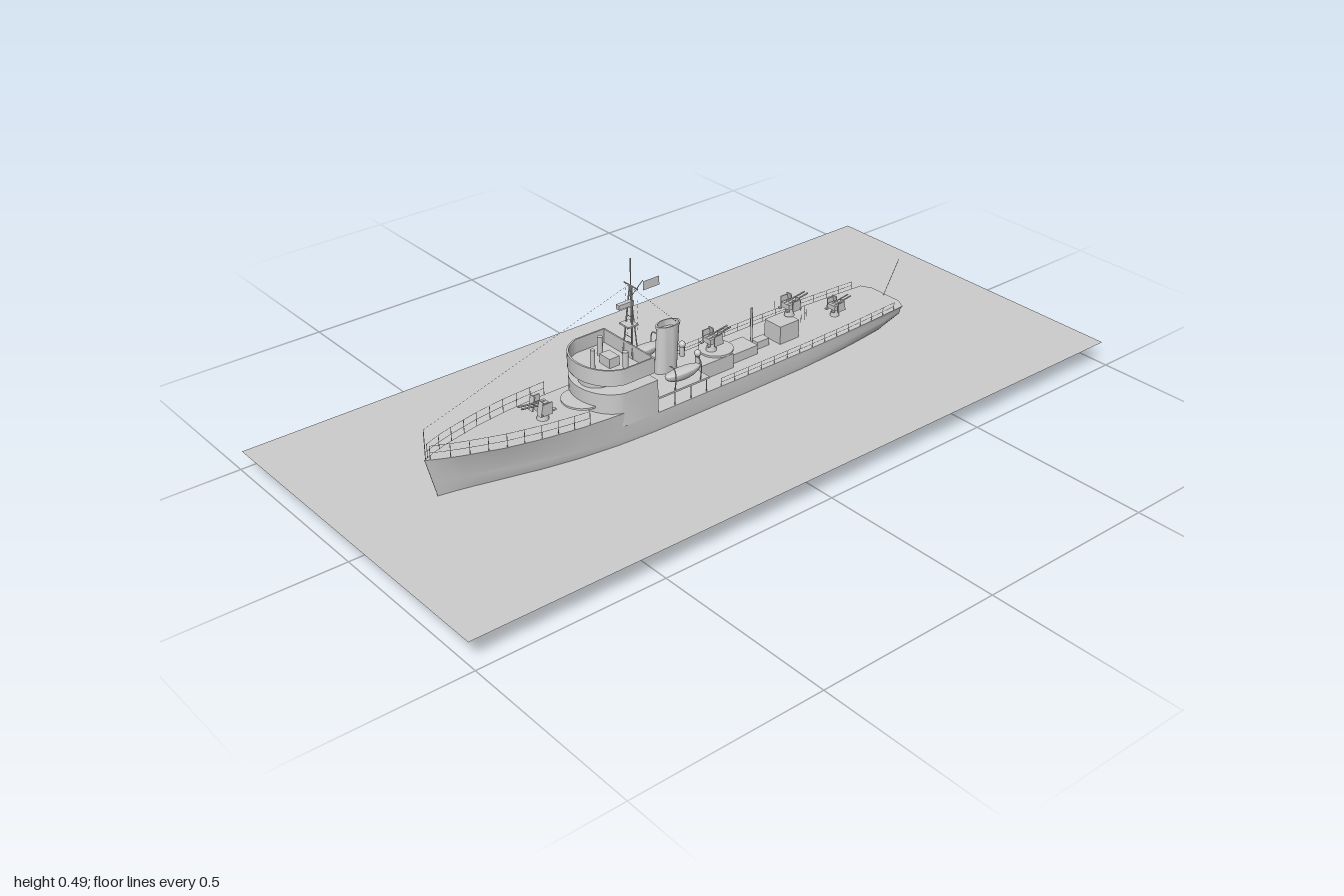
import * as THREE from 'three';
import { toCreasedNormals } from 'three/addons/utils/BufferGeometryUtils.js';

const mat = new THREE.MeshStandardMaterial({ color: 0xcccccc });
const thin = new THREE.MeshStandardMaterial({ color: 0xcccccc, side: THREE.DoubleSide });
const V = (x, y, z) => new THREE.Vector3(x, y, z);

function add(parent, name, geo, x = 0, y = 0, z = 0, material = mat) {
  const m = new THREE.Mesh(geo, material);
  m.name = name;
  m.position.set(x, y, z);
  parent.add(m);
  return m;
}
const box = (p, name, w, h, d, x, y, z) => add(p, name, new THREE.BoxGeometry(w, h, d), x, y, z);
const cyl = (p, name, r0, r1, h, x, y, z, n = 12) => add(p, name, new THREE.CylinderGeometry(r1, r0, h, n), x, y + h / 2, z);

// Round bar between two points
function rod(p, name, a, b, r = 0.001, n = 5) {
  const d = b.clone().sub(a);
  const m = add(p, name, new THREE.CylinderGeometry(r, r, d.length(), n));
  m.position.copy(a).add(b).multiplyScalar(0.5);
  m.quaternion.setFromUnitVectors(V(0, 1, 0), d.normalize());
  return m;
}
// Broken line of short rods
function dashed(p, name, a, b, n) {
  for (let i = 0; i < n; i++) rod(p, name, a.clone().lerp(b, i / n), a.clone().lerp(b, (i + 0.45) / n), 0.0006, 4);
}
// Plan outline (shape y = -z) raised from y0 to y1
function slab(p, name, shape, y0, y1) {
  const g = new THREE.ExtrudeGeometry(shape, { depth: y1 - y0, bevelEnabled: false, curveSegments: 20 });
  g.rotateX(-Math.PI / 2);
  return add(p, name, toCreasedNormals(g, 0.6), 0, y0, 0);
}
// Outline with straight sides and a rounded front
function bowedPlan(w, back, side, front, Type = THREE.Shape) {
  const s = new Type();
  s.moveTo(-w, -back);
  s.lineTo(-w, -side);
  s.bezierCurveTo(-w * 0.75, -front, w * 0.75, -front, w, -side);
  s.lineTo(w, -back);
  s.closePath();
  return s;
}

// Hull stations: z, deck half width, waterline half width, keel height, deck height, fullness
const stations = [
  [-0.69, 0.05, 0.045, 0.075, 0.11, 2], [-0.675, 0.08, 0.072, 0.06, 0.11, 2.2],
  [-0.6, 0.085, 0.082, 0.043, 0.11, 2.5], [-0.45, 0.093, 0.092, 0.026, 0.11, 2.7],
  [-0.3, 0.097, 0.097, 0.008, 0.11, 3], [-0.1, 0.098, 0.098, 0.004, 0.11, 3.5],
  [0.19, 0.098, 0.098, 0.004, 0.11, 3.3], [0.191, 0.098, 0.098, 0.004, 0.145, 3.3],
  [0.3, 0.097, 0.094, 0.004, 0.147, 2.8], [0.4, 0.092, 0.084, 0.004, 0.15, 2.3],
  [0.5, 0.081, 0.066, 0.004, 0.154, 2], [0.6, 0.062, 0.043, 0.004, 0.158, 1.7],
  [0.7, 0.033, 0.019, 0.004, 0.163, 1.4], [0.745, 0.016, 0.008, 0.004, 0.165, 1.3],
  [0.777, 0.001, 0.001, 0.004, 0.166, 1.2]];

function at(z, k) {
  let i = 0;
  while (i < stations.length - 2 && stations[i + 1][0] < z) i++;
  const a = stations[i], b = stations[i + 1];
  return THREE.MathUtils.lerp(a[k], b[k], (z - a[0]) / (b[0] - a[0]));
}

function hullGeometry() {
  const pos = [], idx = [], N = 12;
  let row = 0;
  for (const [z, deck, water, keel, top, e] of stations) {
    const half = [];
    for (let i = 0; i <= N; i++) {
      const t = (i / N) * Math.PI / 2, k = 2 / e;
      half.push([water * Math.sin(t) ** k, 0.098 - (0.098 - keel) * Math.max(0, Math.cos(t)) ** k]);
    }
    half.push([deck, top], [deck, top], [0, top]);
    const ring = [...half, ...half.slice(1, -1).reverse().map(([x, y]) => [-x, y])];
    row = ring.length;
    // The stem leans forward
    const rake = 0.26 * THREE.MathUtils.smoothstep(z, 0.45, 0.777);
    for (const [x, y] of ring) pos.push(x, y, z - (top - y) * rake);
  }
  for (let s = 0; s < stations.length - 1; s++) for (let i = 0; i < row; i++) {
    const a = s * row + i, b = s * row + (i + 1) % row;
    idx.push(a, b, b + row, a, b + row, a + row);
  }
  for (let i = 1; i < row - 1; i++) {
    const o = (stations.length - 1) * row;
    idx.push(0, i + 1, i, o, o + i, o + i + 1);
  }
  const g = new THREE.BufferGeometry();
  g.setAttribute('position', new THREE.Float32BufferAttribute(pos, 3));
  g.setIndex(idx);
  // Keep the winding outward
  const p = i => V().fromArray(pos, i * 3);
  let vol = 0;
  for (let i = 0; i < idx.length; i += 3) vol += p(idx[i]).dot(p(idx[i + 1]).cross(p(idx[i + 2])));
  if (vol < 0) g.setIndex(idx.reverse());
  return toCreasedNormals(g, 0.6);
}

// Deck gun: pedestal, cradle, shield plates, barrels along +z
function gun(p, name, y, z, dir, scale = 1, tilt = 0.15) {
  const g = new THREE.Group();
  g.name = name;
  cyl(g, 'pedestal', 0.014, 0.009, 0.024, 0, 0, 0);
  box(g, 'cradle', 0.03, 0.014, 0.03, 0, 0.03, 0);
  for (const s of [-1, 1]) {
    box(g, 'shield', 0.016, 0.034, 0.003, s * 0.016, 0.036, 0.016).rotation.x = -0.2;
    box(g, 'shieldSide', 0.003, 0.028, 0.025, s * 0.023, 0.034, 0.003);
    box(g, 'gunnerSeat', 0.008, 0.004, 0.008, s * 0.014, 0.022, -0.02);
    rod(g, 'barrel', V(s * 0.006, 0.036, -0.012), V(s * 0.006, 0.036 + 0.07 * tilt, 0.058), 0.002, 8);
  }
  g.position.set(0, y, z);
  g.rotation.y = dir > 0 ? 0 : Math.PI;
  g.scale.setScalar(scale);
  p.add(g);
}

// Rail following the deck edge on both sides
function railing(p, z0, z1, n, h) {
  for (const s of [-1, 1]) {
    const pts = [];
    for (let i = 0; i <= n; i++) {
      const z = z0 + (z1 - z0) * i / n, x = s * (at(z, 1) - 0.001), y = at(z, 4);
      rod(p, 'railPost', V(x, y, z), V(x, y + h, z), 0.0009, 4);
      pts.push(V(x, y + h, z));
    }
    for (const drop of [0, h / 2]) {
      const path = new THREE.CatmullRomCurve3(pts.map(q => V(q.x, q.y - drop, q.z)));
      add(p, 'handRail', new THREE.TubeGeometry(path, n * 2, 0.0006, 4));
    }
  }
}

export function createModel() {
  const root = new THREE.Group();
  root.name = 'patrolShipOnWater';
  add(root, 'waterSurface', new THREE.PlaneGeometry(0.96, 2).rotateX(-Math.PI / 2), 0, 0.06, 0, thin);

  const ship = new THREE.Group();
  ship.name = 'ship';
  ship.position.x = -0.018;
  root.add(ship);
  add(ship, 'hull', hullGeometry());
  railing(ship, 0.38, 0.765, 9, 0.036);
  railing(ship, -0.64, -0.02, 14, 0.022);

  // Bridge: lower house, narrow wheelhouse, open tub with floor
  slab(ship, 'lowerHouse', bowedPlan(0.098, 0.18, 0.28, 0.368), 0.11, 0.2);
  slab(ship, 'wheelhouse', bowedPlan(0.043, 0.19, 0.3, 0.345), 0.2, 0.225);
  slab(ship, 'bridgeFloor', bowedPlan(0.097, 0.19, 0.28, 0.37), 0.222, 0.228);
  const tub = bowedPlan(0.098, 0.19, 0.28, 0.372);
  tub.holes.push(bowedPlan(0.094, 0.194, 0.278, 0.366, THREE.Path));
  slab(ship, 'bridgeScreen', tub, 0.225, 0.265);
  box(ship, 'chartTable', 0.04, 0.025, 0.03, 0, 0.24, 0.25);
  cyl(ship, 'compassStand', 0.006, 0.006, 0.055, 0, 0.228, 0.3);
  for (const s of [-1, 1]) cyl(ship, 'signalLamp', 0.007, 0.007, 0.05, s * 0.05, 0.228, 0.24);

  // Amidships houses and boat deck
  box(ship, 'deckhouse', 0.09, 0.04, 0.29, 0, 0.13, 0.04);
  box(ship, 'afterHouse', 0.06, 0.025, 0.1, 0, 0.1225, -0.15);
  box(ship, 'boatDeck', 0.194, 0.005, 0.165, 0, 0.148, 0.1);
  for (const s of [-1, 1]) {
    for (const z of [0.025, 0.075, 0.125]) rod(ship, 'boatDeckPost', V(s * 0.094, 0.11, z), V(s * 0.094, 0.148, z), 0.0015);
    const boat = add(ship, 'boat', new THREE.SphereGeometry(1, 16, 8, 0, Math.PI * 2, Math.PI / 2, Math.PI / 2), s * 0.075, 0.182, 0.085, thin);
    boat.scale.set(0.018, 0.024, 0.055);
    const cover = add(ship, 'boatCover', new THREE.SphereGeometry(1, 16, 6, 0, Math.PI * 2, 0, Math.PI / 2), s * 0.075, 0.182, 0.085);
    cover.scale.set(0.018, 0.007, 0.055);
    for (const z of [0.045, 0.125]) {
      const arc = new THREE.CatmullRomCurve3([V(s * 0.094, 0.148, z), V(s * 0.098, 0.19, z), V(s * 0.09, 0.208, z), V(s * 0.075, 0.208, z)]);
      add(ship, 'davit', new THREE.TubeGeometry(arc, 10, 0.0016, 5));
    }
  }

  // Raked oval funnel with a recessed top
  const stack = new THREE.LatheGeometry([[0.026, 0], [0.026, 0.12], [0.028, 0.12], [0.028, 0.127], [0.024, 0.127], [0.024, 0.11], [0, 0.11]]
    .map(([x, y]) => new THREE.Vector2(x, y)), 24);
  stack.scale(0.75, 1, 1.25);
  const pos = stack.attributes.position;
  for (let i = 0; i < pos.count; i++) pos.setZ(i, pos.getZ(i) - pos.getY(i) * 0.07);
  add(ship, 'funnel', toCreasedNormals(stack, 0.6), 0, 0.15, 0.078, thin);
  for (const s of [-1, 1]) {
    cyl(ship, 'ventilator', 0.006, 0.006, 0.03, s * 0.03, 0.15, 0.0);
    add(ship, 'ventCowl', new THREE.SphereGeometry(0.009, 10, 8), s * 0.03, 0.182, 0.0);
  }

  // Gun positions
  gun(ship, 'bowGun', 0.152, 0.45, 1, 1.1);
  cyl(ship, 'midGunPlatform', 0.045, 0.045, 0.005, 0, 0.15, -0.085, 24);
  gun(ship, 'midGun', 0.155, -0.07, -1);
  box(ship, 'aftGunHouse', 0.06, 0.05, 0.065, 0, 0.135, -0.31);
  const deck = bowedPlan(0.052, 0.26, 0.345, 0.398);
  slab(ship, 'aftGunPlatform', deck, 0.16, 0.165).scale.z = -1;
  ship.children.at(-1).material = thin;
  ship.children.at(-1).geometry.scale(1, 1, -1);
  ship.children.at(-1).rotation.y = Math.PI;
  ship.children.at(-1).scale.z = 1;
  ship.children.at(-1).geometry.scale(1, 1, 1);
  gun(ship, 'aftUpperGun', 0.165, -0.335, -1);
  for (let i = 0; i < 9; i++) {
    const a = Math.PI * i / 8;
    const q = V(0.05 * Math.cos(a), 0.165, -0.33 - 0.045 * Math.sin(a));
    rod(ship, 'platformPost', q, q.clone().setY(0.187), 0.001, 4);
  }
  gun(ship, 'sternGun', 0.11, -0.5, -1, 0.9);
  rod(ship, 'derrickPost', V(0, 0.11, -0.205), V(0, 0.228, -0.205), 0.003, 8);
  box(ship, 'locker', 0.025, 0.02, 0.04, 0, 0.12, -0.235);

  // Lattice mast with yard, pole and rungs
  const leg = (s, t) => V(s * THREE.MathUtils.lerp(0.025, 0.004, t), THREE.MathUtils.lerp(0.15, 0.415, t), THREE.MathUtils.lerp(0.2, 0.182, t));
  for (const s of [-1, 1]) {
    rod(ship, 'mastLeg', leg(s, 0), leg(s, 1), 0.002, 6);
    dashed(ship, 'halyard', V(s * 0.024, 0.415, 0.18), V(s * 0.018, 0.265, 0.18), 10);
  }
  for (let i = 4; i < 10; i++) rod(ship, 'mastRung', leg(-1, i / 10), leg(1, i / 10), 0.001);
  rod(ship, 'mastPole', V(0, 0.15, 0.182), V(0, 0.487, 0.182), 0.0016, 6);
  rod(ship, 'mastStrut', V(0, 0.15, 0.155), V(0, 0.39, 0.182), 0.0016, 6);
  rod(ship, 'yard', V(-0.026, 0.415, 0.182), V(0.026, 0.415, 0.182), 0.0016, 6);
  box(ship, 'lookoutPlatform', 0.036, 0.004, 0.03, 0, 0.315, 0.19);
  box(ship, 'lampBracket', 0.012, 0.012, 0.045, 0, 0.37, 0.2);
  rod(ship, 'gaff', V(0, 0.385, 0.182), V(0, 0.418, 0.145), 0.001);
  add(ship, 'flag', new THREE.PlaneGeometry(0.05, 0.024).rotateY(Math.PI / 2), 0, 0.402, 0.12, thin);

  // Staffs and stays
  rod(ship, 'bowStaff', V(0, 0.16, 0.774), V(0, 0.245, 0.774), 0.001);
  rod(ship, 'sternStaff', V(0, 0.108, -0.682), V(0, 0.2, -0.735), 0.0008);
  dashed(ship, 'foreStay', V(0, 0.245, 0.774), V(0, 0.42, 0.185), 60);
  dashed(ship, 'backStay', V(0, 0.41, 0.18), V(0, 0.27, 0.04), 20);

  // Underwater gear
  for (const s of [-1, 1]) {
    rod(ship, 'propellerShaft', V(s * 0.04, 0.022, -0.28), V(s * 0.04, 0.022, -0.6), 0.003, 8);
    rod(ship, 'shaftStrut', V(s * 0.04, 0.022, -0.57), V(s * 0.03, 0.06, -0.57), 0.0025, 6);
    for (let i = 0; i < 3; i++) {
      const blade = box(ship, 'propellerBlade', 0.011, 0.036, 0.002, s * 0.04, 0.022, -0.603);
      blade.rotation.set(0, 0, i * Math.PI / 3);
    }
  }
  box(ship, 'skeg', 0.006, 0.03, 0.22, 0, 0.026, -0.4);
  box(ship, 'rudder', 0.005, 0.056, 0.035, 0, 0.028, -0.637);
  rod(ship, 'rudderPost', V(0, 0, -0.62), V(0, 0.07, -0.62), 0.003, 6);
  return root;
}
